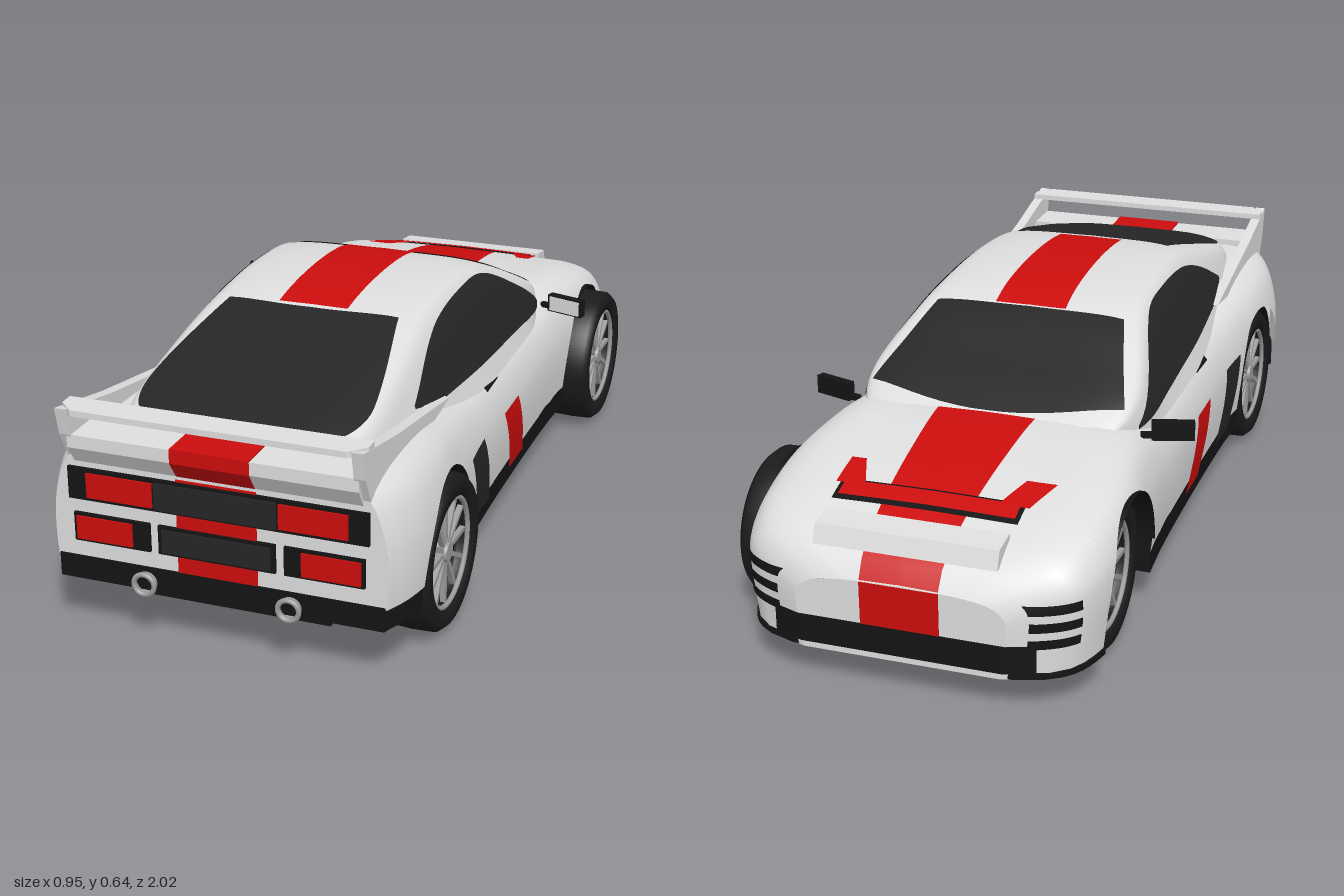
import * as THREE from 'three';

const mat = (name, color) => new THREE.MeshStandardMaterial({ name, color, side: THREE.DoubleSide });
const WHEEL_Z = 0.64, WHEEL_Y = 0.18, ARCH = 0.19;

// Smooth interpolation of rows [z, a, b...] along z
function track(rows) {
  const slope = (i, k) => {
    const a = rows[Math.max(i - 1, 0)], b = rows[Math.min(i + 1, rows.length - 1)];
    return (b[k] - a[k]) / (b[0] - a[0]);
  };
  return (z) => {
    let i = 0;
    while (i < rows.length - 2 && z > rows[i + 1][0]) i++;
    const p = rows[i], q = rows[i + 1], d = q[0] - p[0];
    const t = Math.min(Math.max((z - p[0]) / d, 0), 1), t2 = t * t, t3 = t2 * t;
    return p.slice(1).map((v, k) => (2 * t3 - 3 * t2 + 1) * v + (3 * t2 - 2 * t3) * q[k + 1]
      + (t3 - 2 * t2 + t) * d * slope(i, k + 1) + (t3 - t2) * d * slope(i + 1, k + 1));
  };
}

// Half width and centre height along the body and the cabin; the nose is at -z
const bodyTrack = track([[-1, 0.24, 0.265], [-0.985, 0.3, 0.295], [-0.95, 0.36, 0.325], [-0.9, 0.395, 0.352],
  [-0.8, 0.42, 0.385], [-0.64, 0.43, 0.417], [-0.45, 0.41, 0.438], [-0.25, 0.401, 0.418], [0.3, 0.402, 0.43],
  [0.5, 0.415, 0.452], [0.65, 0.43, 0.47], [0.8, 0.43, 0.475], [0.9, 0.41, 0.475], [0.955, 0.385, 0.475]]);
const cabinTrack = track([[-0.45, 0.29, 0.44], [-0.38, 0.335, 0.475], [-0.29, 0.36, 0.517], [-0.13, 0.366, 0.592],
  [-0.02, 0.367, 0.62], [0.17, 0.367, 0.631], [0.36, 0.358, 0.619], [0.55, 0.343, 0.577], [0.77, 0.31, 0.522], [0.89, 0.25, 0.492]]);

const curve = (pts) => new THREE.CatmullRomCurve3(pts.map(([x, y]) => new THREE.Vector3(x, y, 0)));
function bodySection(z) {
  const [w, top] = bodyTrack(z), m = Math.min(0.24, top - 0.06), h = top - m;
  return curve([[w - 0.015, 0.08], [w, m], [w - 0.008, m + 0.45 * h], [w - 0.04, m + 0.8 * h],
    [w - 0.1, m + 0.965 * h], [0.45 * w, top], [0, top + 0.003]]);
}
function cabinSection(z) {
  const [w, roof] = cabinTrack(z), t = w - 0.6 * (roof - 0.43);
  return curve([[w, 0.38], [(w + t) / 2 + 0.012, (0.38 + roof) / 2], [t + 0.015, roof - 0.02],
    [t - 0.04, roof - 0.004], [0, roof + 0.002]]);
}
// Parameter at which a section reaches a given x or y
function solve(section, axis, value) {
  let lo = 0, hi = 1;
  for (let i = 0; i < 18; i++) {
    const mid = (lo + hi) / 2, v = section.getPoint(mid)[axis];
    if (axis === 'y' ? v < value : v > value) lo = mid; else hi = mid;
  }
  return lo;
}
function sillY(z) {
  const d = Math.abs(Math.abs(z) - WHEEL_Z);
  if (d < ARCH) return WHEEL_Y + Math.sqrt(ARCH * ARCH - d * d);
  return z < -0.8 ? 0.085 : z > 0.8 ? 0.185 : 0.105;
}

function grid(f, nu, nv, flip) {
  const pos = [], idx = [], n = nv + 1;
  for (let i = 0; i <= nu; i++) for (let j = 0; j <= nv; j++) pos.push(...f(i / nu, j / nv));
  for (let i = 0; i < nu; i++) for (let j = 0; j < nv; j++) {
    const a = i * n + j, b = a + n;
    idx.push(...(flip ? [a, a + 1, b, b, a + 1, b + 1] : [a, b, a + 1, b, b + 1, a + 1]));
  }
  const g = new THREE.BufferGeometry();
  g.setAttribute('position', new THREE.Float32BufferAttribute(pos, 3));
  g.setIndex(idx);
  g.computeVertexNormals();
  return g;
}
function loft(section, zs, bottom) {
  const cuts = zs.map((z) => { const c = section(z); return [c, bottom ? solve(c, 'y', bottom(z)) : 0]; });
  return grid((u, v) => {
    const j = Math.round(v * (zs.length - 1)), [c, t0] = cuts[j], k = u < 0.5 ? u * 2 : 2 - 2 * u;
    const p = c.getPoint(t0 + (1 - t0) * k);
    return [u <= 0.5 ? p.x : -p.x, p.y, zs[j]];
  }, 56, zs.length - 1);
}

export function createModel() {
  const model = new THREE.Group(), car = new THREE.Group();
  model.name = 'rallyCar';
  car.name = 'bodyShell';
  car.position.x = 0.003;
  car.rotation.y = 0.03;
  model.add(car);
  const paint = mat('whitePaint', 0xdedede), red = mat('redPaint', 0xcc0d0d), glass = mat('darkGlass', 0x262626);
  const black = mat('blackTrim', 0x141414), rubber = mat('tyreRubber', 0x1b1b1b), alloy = mat('alloy', 0x9c9c9c);

  const add = (name, geo, m, parent = car) => {
    const mesh = new THREE.Mesh(geo, m);
    mesh.name = name;
    parent.add(mesh);
    return mesh;
  };
  const box = (name, m, x0, x1, y0, y1, z0, z1) =>
    add(name, new THREE.BoxGeometry(x1 - x0, y1 - y0, z1 - z0).translate((x0 + x1) / 2, (y0 + y1) / 2, (z0 + z1) / 2), m);
  // Profile of [z, y] points extruded across x
  const profile = (name, m, pts, x0, x1) => add(name, new THREE.ExtrudeGeometry(
    new THREE.Shape(pts.map((p) => new THREE.Vector2(...p))), { depth: x1 - x0, bevelEnabled: false })
    .rotateY(-Math.PI / 2).translate(x1, 0, 0), m);
  // Plan of [x, z] points extruded in height
  const plan = (name, m, pts, y0, y1) => add(name, new THREE.ExtrudeGeometry(
    new THREE.Shape(pts.map((p) => new THREE.Vector2(...p))), { depth: y1 - y0, bevelEnabled: false })
    .rotateX(Math.PI / 2).translate(0, y1, 0), m);
  const bodyPlan = (name, z0, z1, y0, y1) => {
    const half = Array.from({ length: 9 }, (_, i) => z0 + (z1 - z0) * i / 8).map((z) => [bodyTrack(z)[0] - 0.008, z]);
    plan(name, black, [...half, ...half.slice().reverse().map(([x, z]) => [-x, z])], y0, y1);
  };
  // Painted patches that follow the upper surface: x0, x1 are functions of z fraction v; zOf gives z
  const topPatch = (name, m, section, x0, x1, zOf, lift = 0.003, n = 24) => add(name, grid((v, u) => {
    const x = x0(v) + (x1(v) - x0(v)) * u, z = zOf(v, x), c = section(z);
    return [x, c.getPoint(solve(c, 'x', Math.abs(x))).y + lift, z];
  }, n, 16), m);
  // Painted patches that follow both flanks
  const sidePatch = (name, m, section, yOf, zOf, nu = 10, nv = 24) => [1, -1].forEach((s) =>
    add(name, grid((u, v) => {
      const y = yOf(u, v), z = zOf(u, v), c = section(z);
      return [s * (c.getPoint(solve(c, 'y', y)).x + 0.003), y, z];
    }, nu, nv, s < 0), m));
  const lerp = THREE.MathUtils.lerp;

  // Painted shell, with extra stations round the wheel arches
  const zs = [];
  for (let i = 0; i <= 60; i++) zs.push(-1 + 1.955 * i / 60);
  for (const c of [-WHEEL_Z, WHEEL_Z]) {
    for (let i = 0; i <= 28; i++) zs.push(c - (ARCH - 0.0005) * Math.cos(Math.PI * i / 28));
    zs.push(c - ARCH - 0.0005, c + ARCH + 0.0005);
  }
  zs.sort((a, b) => a - b);
  add('bodyPanels', loft(bodySection, zs, sillY), paint);
  add('cabin', loft(cabinSection, Array.from({ length: 50 }, (_, i) => -0.45 + 1.34 * i / 49)), paint);
  for (const [name, z] of [['nosePanel', -1], ['tailPanel', 0.955]]) {
    const c = bodySection(z), t0 = solve(c, 'y', sillY(z)), pts = [];
    for (let i = 0; i <= 30; i++) pts.push(c.getPoint(t0 + (1 - t0) * i / 30));
    const outline = [...pts, ...pts.slice(0, -1).reverse().map((p) => new THREE.Vector3(-p.x, p.y, 0))];
    const g = new THREE.ShapeGeometry(new THREE.Shape(outline.map((p) => new THREE.Vector2(p.x, p.y))));
    if (z < 0) g.rotateY(Math.PI);
    add(name, g.translate(0, 0, z), paint);
  }

  // Underside and wheel wells
  bodyPlan('floor', -0.45, 0.45, 0.09, 0.3);
  bodyPlan('frontSplitter', -0.995, -0.83, 0.086, 0.1);
  bodyPlan('rearValance', 0.83, 0.96, 0.135, 0.19);
  box('chassis', black, -0.235, 0.235, 0.09, 0.32, -0.86, 0.9);
  for (const s of [1, -1]) for (const z of [-WHEEL_Z, WHEEL_Z])
    add('wheelWell', new THREE.CylinderGeometry(ARCH, ARCH, 0.18, 24, 1, true, 0, Math.PI)
      .rotateZ(Math.PI / 2).translate(s * 0.322, WHEEL_Y, z), black);

  // Windows
  topPatch('windscreen', glass, cabinSection, (v) => -lerp(0.315, 0.24, v), (v) => lerp(0.315, 0.24, v),
    (v, x) => lerp(-0.445 + 0.65 * x * x, -0.13, v));
  const rearW = track([[0, 0.21], [0.65, 0.265], [0.85, 0.25], [1, 0.19]]);
  topPatch('rearWindow', glass, cabinSection, (v) => -rearW(v)[0], (v) => rearW(v)[0],
    (v, x) => lerp(0.4 - 0.3 * x * x, 0.875, v), 0.004);
  const winTop = track([[-0.36, 0.418], [-0.23, 0.5], [-0.06, 0.586], [0.1, 0.603], [0.29, 0.592], [0.42, 0.555], [0.57, 0.482]]);
  const winLow = (z) => z < 0.44 ? lerp(0.41, 0.447, (z + 0.36) / 0.8) : lerp(0.447, 0.475, (z - 0.44) / 0.13);
  sidePatch('sideWindow', glass, cabinSection,
    (u, v) => { const z = lerp(-0.36, 0.57, v); return lerp(winLow(z), winTop(z)[0], u); }, (u, v) => lerp(-0.36, 0.57, v), 12, 40);

  // Centre stripe and hood vent
  const stripe = (name, section, z0, z1, w0, w1) =>
    topPatch(name, red, section, (v) => -lerp(w0, w1, v), (v) => lerp(w0, w1, v), (v) => lerp(z0, z1, v));
  stripe('hoodStripe', bodySection, -1, -0.44, 0.09, 0.12);
  stripe('roofStripe', cabinSection, -0.125, 0.385, 0.09, 0.085);
  box('noseStripe', red, -0.09, 0.09, 0.165, 0.265, -1.002, -0.995);
  const flat = (name, m, x0, x1, z0, z1, lift) => topPatch(name, m, bodySection, () => x0, () => x1, (v) => lerp(z0, z1, v), lift, 8);
  flat('hoodVentEdge', black, -0.215, 0.215, -0.85, -0.785, 0.005);
  flat('hoodVent', red, -0.205, 0.205, -0.838, -0.793, 0.008);
  for (const s of [1, -1]) topPatch('hoodVentArm', red, bodySection, (v) => s * 0.19 - 0.035 + s * 0.035 * v * s * s,
    (v) => s * 0.19 + 0.035 - (1 - s) * 0.0175 * v, (v) => lerp(-0.8, -0.71, v), 0.007, 8);

  // Nose lamp cover, grille and corner slots
  profile('lampCover', paint, [[-0.965, 0.32], [-0.95, 0.362], [-0.885, 0.37], [-0.885, 0.33]], -0.21, 0.21);
  plan('grille', black, [[-0.23, -1.003], [0.23, -1.003], [0.3, -0.98], [-0.3, -0.98]], 0.1, 0.165);
  for (const y of [0.16, 0.2, 0.24])
    sidePatch('cornerSlot', black, bodySection, (u) => y + 0.022 * u, (u, v) => lerp(-0.99, -0.925, v), 3, 12);

  // Flank decals and door handles
  const slant = (name, m, zt, zb, w, top) => sidePatch(name, m, bodySection, (u) => lerp(0.107, top, u), (u, v) => lerp(zb, zt, u) + w * v);
  slant('blackFlash', glass, 0.315, 0.23, 0.125, 0.31);
  slant('redFlash', red, 0.01, -0.08, 0.125, 0.3);
  sidePatch('doorHandle', black, bodySection, (u) => lerp(0.378, 0.4, u), (u, v) => lerp(0.1, 0.2, v), 3, 6);

  // Tail spoiler and its side fins
  for (const s of [1, -1])
    profile('spoilerFin', paint, [[0.42, 0.45], [0.785, 0.51], [1, 0.555], [0.985, 0.49], [0.95, 0.42], [0.6, 0.43]],
      s * 0.333 - 0.013, s * 0.333 + 0.013);
  plan('spoilerBlade', paint, [[-0.345, 0.93], [0.345, 0.93], [0.345, 0.965], [0.31, 1], [-0.31, 1], [-0.345, 0.965]], 0.541, 0.555);
  const lip = (o) => [[0.95, 0.41], [0.983 + o, 0.46], [0.983 + o, 0.49 + o], [0.87, 0.49 + o], [0.87, 0.44]];
  profile('tailLip', paint, lip(0), -0.33, 0.33);
  profile('tailLipStripe', red, lip(0.003), -0.09, 0.09);

  // Tail lamps and panels
  const plate = (name, m, x0, x1, y0, y1, d) => box(name, m, x0, x1, y0, y1, 0.95, 0.955 + d);
  plate('tailStripe', red, -0.092, 0.092, 0.187, 0.41, 0.003);
  plate('upperLampFrame', black, -0.345, 0.345, 0.33, 0.405, 0.008);
  plate('upperCentrePanel', glass, -0.14, 0.14, 0.335, 0.398, 0.012);
  plate('lowerPanelFrame', black, -0.135, 0.135, 0.23, 0.297, 0.008);
  plate('lowerCentrePanel', glass, -0.125, 0.125, 0.236, 0.29, 0.012);
  for (const s of [1, -1]) {
    const pair = (name, m, a, b, y0, y1, d) => plate(name, m, Math.min(s * a, s * b), Math.max(s * a, s * b), y0, y1, d);
    pair('upperLamp', red, 0.145, 0.3, 0.338, 0.396, 0.012);
    pair('lowerLampFrame', black, 0.155, 0.335, 0.23, 0.297, 0.008);
    pair('lowerLamp', red, 0.195, 0.328, 0.236, 0.291, 0.012);
    add('exhaust', new THREE.TorusGeometry(0.024, 0.006, 8, 24).translate(s * 0.168, 0.155, 0.975), alloy);
    add('exhaustPipe', new THREE.CylinderGeometry(0.025, 0.025, 0.06, 20, 1, true).rotateX(Math.PI / 2).translate(s * 0.168, 0.155, 0.945), alloy);

    // Door mirrors
    const mirror = new THREE.Group();
    mirror.name = 'doorMirror';
    mirror.position.set(s * 0.425, 0.417, -0.355);
    mirror.rotation.y = -s * 0.3;
    add('mirrorHousing', new THREE.BoxGeometry(0.1, 0.045, 0.022), black, mirror);
    add('mirrorGlass', new THREE.BoxGeometry(0.088, 0.038, 0.004).translate(0, 0, 0.011), paint, mirror);
    add('mirrorArm', new THREE.BoxGeometry(0.05, 0.012, 0.016).translate(-s * 0.05, -0.012, 0), black, mirror);
    car.add(mirror);
  }

  // Wheels stand straight while the shell is slightly turned
  const tyre = [[0.12, -0.06], [0.165, -0.065], [0.178, -0.05], [0.18, 0], [0.178, 0.05], [0.165, 0.065], [0.13, 0.06], [0.125, 0.03]]
    .map((p) => new THREE.Vector2(...p));
  for (const s of [1, -1]) for (const z of [-WHEEL_Z, WHEEL_Z]) {
    const wheel = new THREE.Group();
    wheel.name = 'wheel';
    wheel.position.set(0.0325 + s * 0.36, WHEEL_Y, z);
    wheel.rotation.z = -s * Math.PI / 2;
    add('tyre', new THREE.LatheGeometry(tyre, 48), rubber, wheel);
    add('wheelBack', new THREE.CylinderGeometry(0.124, 0.124, 0.08, 32).translate(0, -0.015, 0), black, wheel);
    add('rim', new THREE.TorusGeometry(0.125, 0.006, 8, 40).rotateX(Math.PI / 2).translate(0, 0.052, 0), alloy, wheel);
    add('hub', new THREE.CylinderGeometry(0.022, 0.028, 0.03, 20).translate(0, 0.038, 0), alloy, wheel);
    for (let i = 0; i < 12; i++)
      add('spoke', new THREE.BoxGeometry(0.105, 0.012, 0.011).translate(0.072, 0.04, 0).rotateY(i * Math.PI / 6), alloy, wheel);
    model.add(wheel);
  }
  return model;
}
